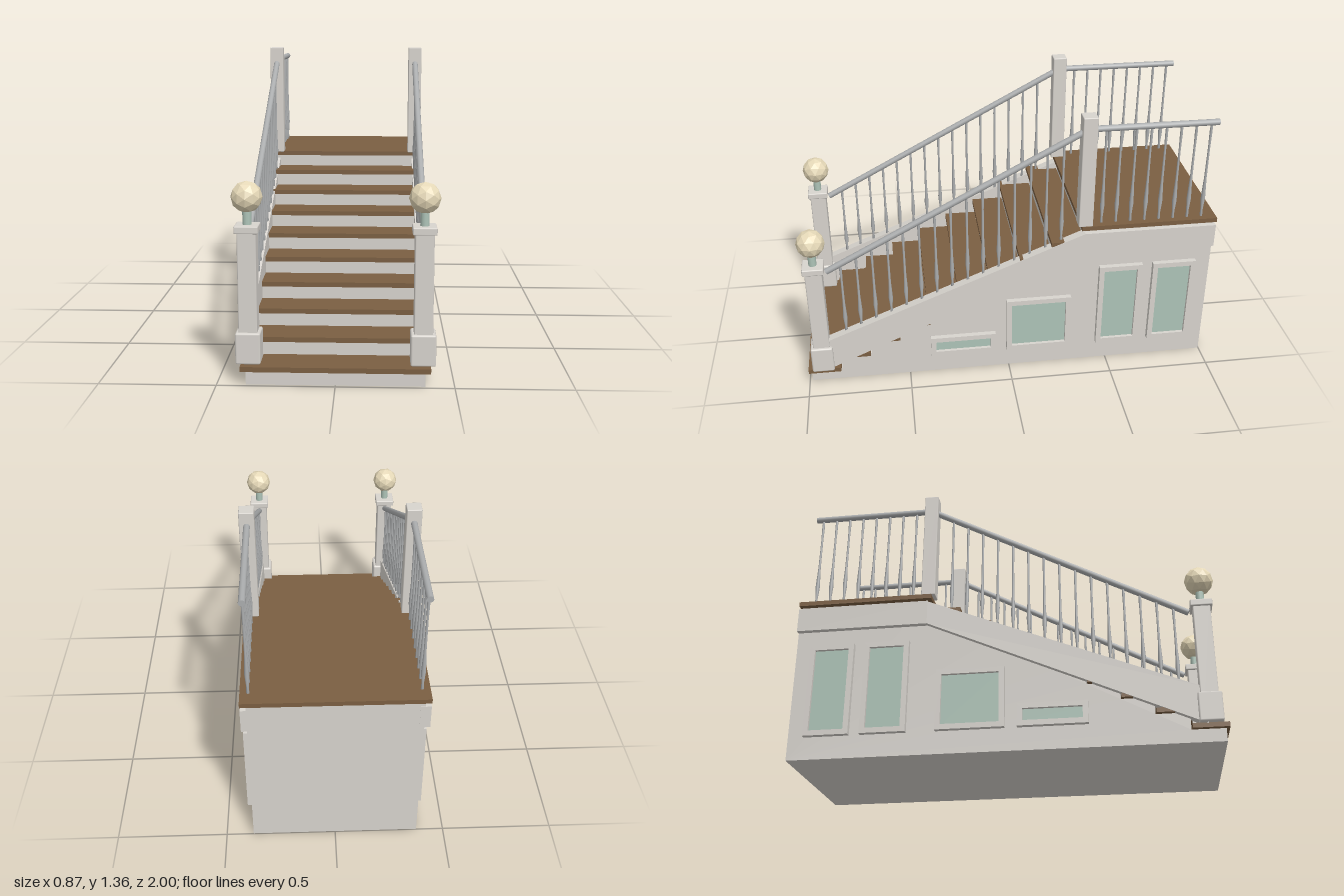
import * as THREE from 'three';
import { RoundedBoxGeometry } from 'three/addons/geometries/RoundedBoxGeometry.js';

const mat = (name, color, extra = {}) => {
  const m = new THREE.MeshStandardMaterial({ color, ...extra });
  m.name = name;
  return m;
};

export function createModel() {
  const stone = mat('pale stone', 0xd8d4ce);
  const wood = mat('brown wood', 0x7b5f42);
  const metal = mat('grey metal', 0xacaeaf);
  const green = mat('green panel', 0xaec4b8);
  const globeMat = mat('cream globe', 0xe6d9b8, { flatShading: true });

  const root = new THREE.Group();
  root.name = 'staircase';
  const add = (name, geo, material, x = 0, y = 0, z = 0, parent = root) => {
    const m = new THREE.Mesh(geo, material);
    m.name = name;
    m.position.set(x, y, z);
    parent.add(m);
    return m;
  };
  const box = (name, material, w, y0, y1, z0, z1, x = 0, parent = root) =>
    add(name, new THREE.BoxGeometry(w, y1 - y0, z1 - z0), material, x, (y0 + y1) / 2, (z0 + z1) / 2, parent);

  // Side outline in (z, y), extruded across x from x0 to x1
  const sideShape = pts => new THREE.Shape(pts.map(p => new THREE.Vector2(...p)));
  const extrudeX = (shape, x0, x1) => {
    const g = new THREE.ExtrudeGeometry(shape, { depth: x1 - x0, bevelEnabled: false });
    return g.rotateY(-Math.PI / 2).translate(x1, 0, 0);
  };

  // Stepped solid body
  const steps = 10, run = 0.15, rise = 0.08;
  const outline = [[-0.998, 0], [0.985, 0]];
  for (let i = 0; i < steps; i++) {
    const y = 0.06 + rise * i + (i === steps - 1 ? 0.002 : 0);
    outline.push([0.985 - run * i, y]);
    outline.push([i === steps - 1 ? -0.998 : 0.985 - run * (i + 1), y]);
  }
  add('body', extrudeX(sideShape(outline), -0.377, 0.377), stone);

  // Treads and landing board
  for (let i = 0; i < steps; i++) {
    const last = i === steps - 1;
    const front = 1 - run * i;
    box(last ? 'landing' : 'tread', wood, last ? 0.808 : 0.8, 0.06 + rise * i, 0.082 + rise * i,
      last ? -1 : front - 0.16, last ? -0.343 : front);
  }

  // Slopes of stringer top and handrail
  const stringerTop = z => 0.762 - (z + 0.36) * 0.407;
  const railY = z => (z < -0.36 ? 1.292 : 1.275 - (z + 0.33) * 0.536);

  const spindle = new THREE.LatheGeometry(
    [[0, 0], [0.007, 0], [0.0055, 0.07], [0.0105, 0.2], [0.006, 0.42], [0.005, 0.75], [0.0065, 0.9], [0.0055, 1]]
      .map(p => new THREE.Vector2(...p)), 16);

  // Panels: z min, z max, y max
  const panels = [[0.069, 0.391, 0.215], [-0.306, 0.013, 0.402], [-0.656, -0.441, 0.562], [-0.923, -0.708, 0.562]];

  for (const s of [1, -1]) {
    const side = new THREE.Group();
    side.name = s > 0 ? 'leftSide' : 'rightSide';
    root.add(side);
    const px = 0.368 * s;
    const between = (shape, a, b) => extrudeX(shape, Math.min(a * s, b * s), Math.max(a * s, b * s));

    // Stringer band
    add('stringer', between(sideShape([
      [-0.36, 0.645], [-0.999, 0.645], [-0.999, 0.762], [-0.36, 0.762], [0.91, stringerTop(0.91)], [0.91, 0.077],
    ]), 0.357, 0.403), stone, 0, 0, 0, side);

    // Framed panels
    for (const [z0, z1, y1] of panels) {
      const y0 = 0.108, t = 0.025;
      const frame = sideShape([[z0, y0], [z1, y0], [z1, y1], [z0, y1]]);
      frame.holes.push(new THREE.Path([
        [z0 + t, y0 + t], [z0 + t, y1 - t], [z1 - t, y1 - t], [z1 - t, y0 + t],
      ].map(p => new THREE.Vector2(...p))));
      add('panelFrame', between(frame, 0.37, 0.402), stone, 0, 0, 0, side);
      box('panelInset', green, 0.009, y0 + t, y1 - t, z0 + t, z1 - t, 0.382 * s, side);
    }

    // Front newel post with base, cap, collar and globe
    const post = new THREE.Group();
    post.name = 'frontNewel';
    post.position.set(px, 0, 0.924);
    side.add(post);
    const block = (name, w, y0, y1, r) =>
      add(name, new RoundedBoxGeometry(w, y1 - y0, w, 1, r), stone, 0, (y0 + y1) / 2, 0, post);
    block('newelBase', 0.107, 0.083, 0.22, 0.008);
    block('newelShaft', 0.08, 0.083, 0.65, 0.005);
    block('newelCap', 0.101, 0.645, 0.677, 0.005);
    add('globeCollar', new THREE.CylinderGeometry(0.019, 0.019, 0.08, 12), green, 0, 0.71, 0, post);
    add('globe', new THREE.IcosahedronGeometry(0.067, 1), globeMat, 0, 0.793, 0, post);

    // Upper newel post, standing on the landing edge
    add('upperNewel', new RoundedBoxGeometry(0.068, 0.56, 0.068, 1, 0.004), stone, px, 1.08, -0.36, side);

    // Handrails
    const rail = (name, za, ya, zb, yb) => {
      const len = Math.hypot(zb - za, yb - ya);
      const geo = new THREE.CylinderGeometry(0.0148, 0.0148, len, 12);
      const m = add(name, geo, metal, px, (ya + yb) / 2, (za + zb) / 2, side);
      m.rotation.x = Math.atan2(zb - za, yb - ya);
    };
    rail('slopedHandrail', 0.866, railY(0.866), -0.34, railY(-0.34));
    rail('landingHandrail', -0.37, 1.292, -0.965, 1.292);

    // Balusters
    const baluster = (z, y0) => {
      const m = add('baluster', spindle, metal, px, y0, z, side);
      m.scale.y = railY(z) - y0;
    };
    for (let i = 0; i < 15; i++) {
      const z = 0.798 - i * 0.0748;
      baluster(z, stringerTop(z) - 0.005);
    }
    for (let i = 0; i < 8; i++) baluster(-0.441 - i * 0.0698, 0.8);
  }
  return root;
}
